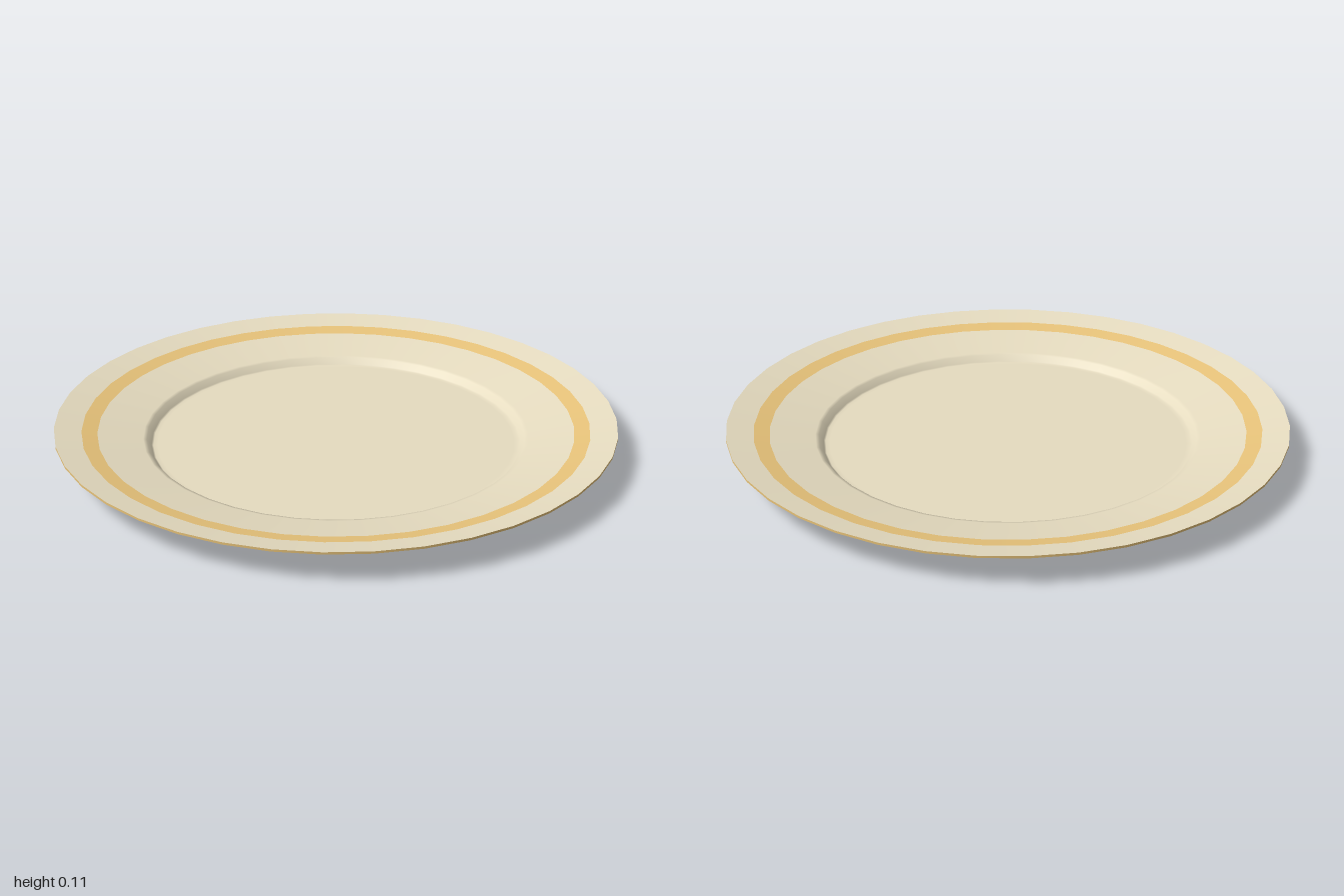
import * as THREE from 'three';

const SEGMENTS = 40;

export function createModel() {
  const cream = new THREE.MeshStandardMaterial({ color: 0xe6dcc0 });
  cream.name = 'cream glaze';
  const gold = new THREE.MeshStandardMaterial({ color: 0xebc67c });
  gold.name = 'gold trim';

  const plate = new THREE.Group();
  plate.name = 'plate';

  // Each section is a ring turned from [radius, height] points;
  // sections follow the outline from the underside centre to the top centre.
  function ring(name, material, profile) {
    const points = profile.map(([r, y]) => new THREE.Vector2(r, y));
    const mesh = new THREE.Mesh(new THREE.LatheGeometry(points, SEGMENTS, 0.02), material);
    mesh.name = name;
    plate.add(mesh);
  }

  // Height of the sloping upper rim surface at radius r
  const rimTop = (r) => 0.05 + ((r - 0.675) / 0.325) * 0.063;

  // Underside: recessed base, foot ring and flared rim
  ring('baseRecess', cream, [[0, 0.01], [0.61, 0.01]]);
  ring('footInnerWall', cream, [[0.61, 0.01], [0.62, 0]]);
  ring('footRing', cream, [[0.62, 0], [0.655, 0]]);
  ring('rimUnderside', cream, [
    [0.655, 0], [0.66, 0.005], [0.683, 0.03], [0.69, 0.035], [0.72, 0.042], [1, 0.105],
  ]);

  // Outer edge
  ring('rimEdge', gold, [[1, 0.105], [1, 0.113]]);

  // Upper side: rim with painted band, then the short wall and flat well
  ring('outerRim', cream, [[1, 0.113], [0.905, rimTop(0.905)]]);
  ring('paintedBand', gold, [[0.905, rimTop(0.905)], [0.85, rimTop(0.85)]]);
  ring('innerRimAndWell', cream, [
    [0.85, rimTop(0.85)], [0.69, rimTop(0.69)], [0.677, 0.05],
    [0.662, 0.028], [0.655, 0.025], [0.64, 0.025], [0, 0.025],
  ]);

  return plate;
}
